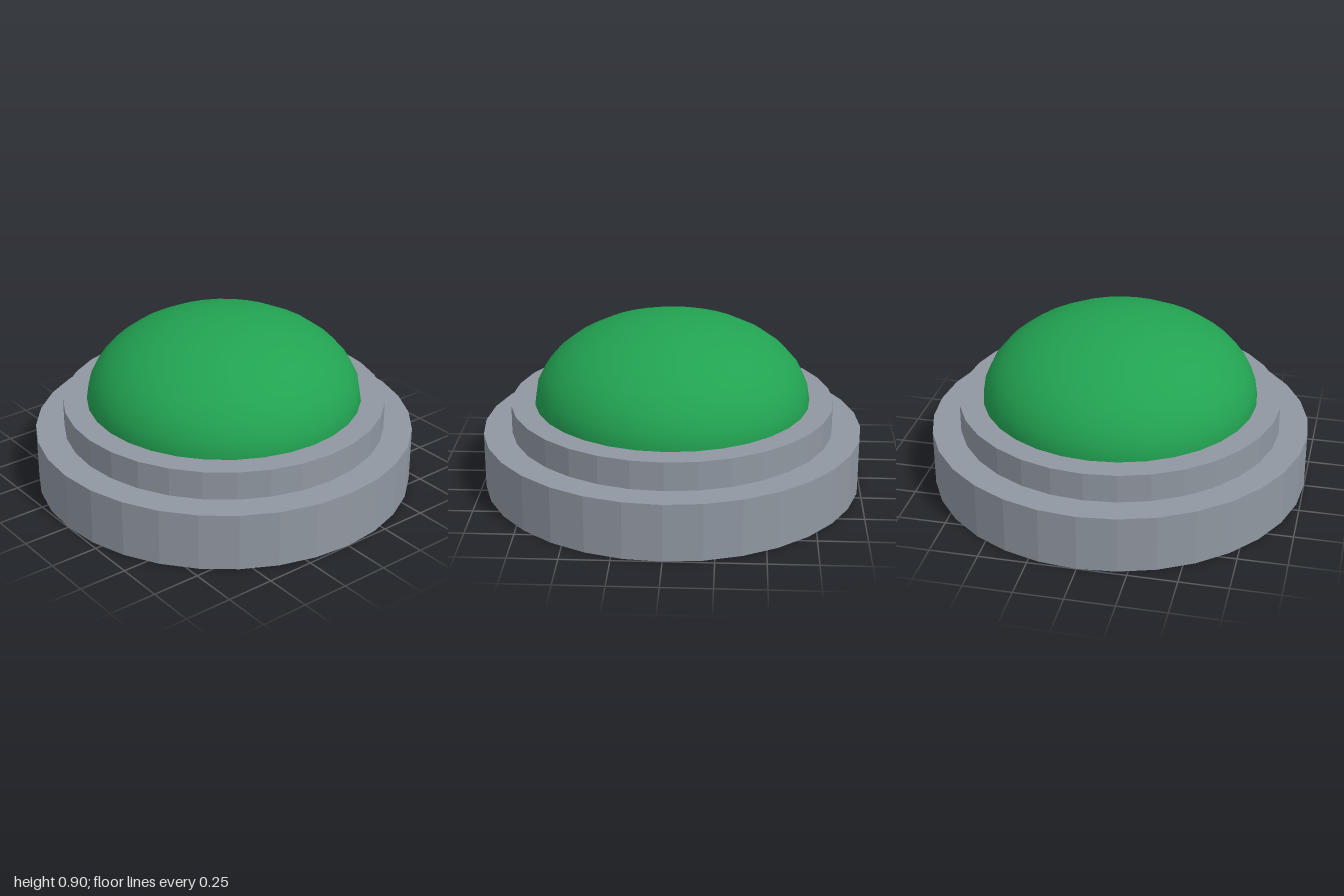
import * as THREE from 'three';

const SIDES = 32;

export function createModel() {
  const model = new THREE.Group();
  model.name = 'pushButton';

  const grey = new THREE.MeshStandardMaterial({ color: 0x9097a1 });
  grey.name = 'housing grey';
  grey.flatShading = true;
  const green = new THREE.MeshStandardMaterial({ color: 0x22a352 });
  green.name = 'button green';

  const add = (name, geometry, material, y) => {
    const mesh = new THREE.Mesh(geometry, material);
    mesh.name = name;
    mesh.position.y = y;
    model.add(mesh);
    return mesh;
  };

  // Stepped housing: wide base with a narrower collar on top
  add('base', new THREE.CylinderGeometry(1, 1, 0.3, SIDES), grey, 0.15);
  add('collar', new THREE.CylinderGeometry(0.85, 0.85, 0.15, SIDES), grey, 0.375);

  // Smooth flattened half-sphere that is pressed
  const dome = add(
    'domeButton',
    new THREE.SphereGeometry(0.725, SIDES, 8, 0, Math.PI * 2, 0, Math.PI / 2),
    green,
    0.45
  );
  dome.scale.y = 0.45 / 0.725;

  return model;
}
